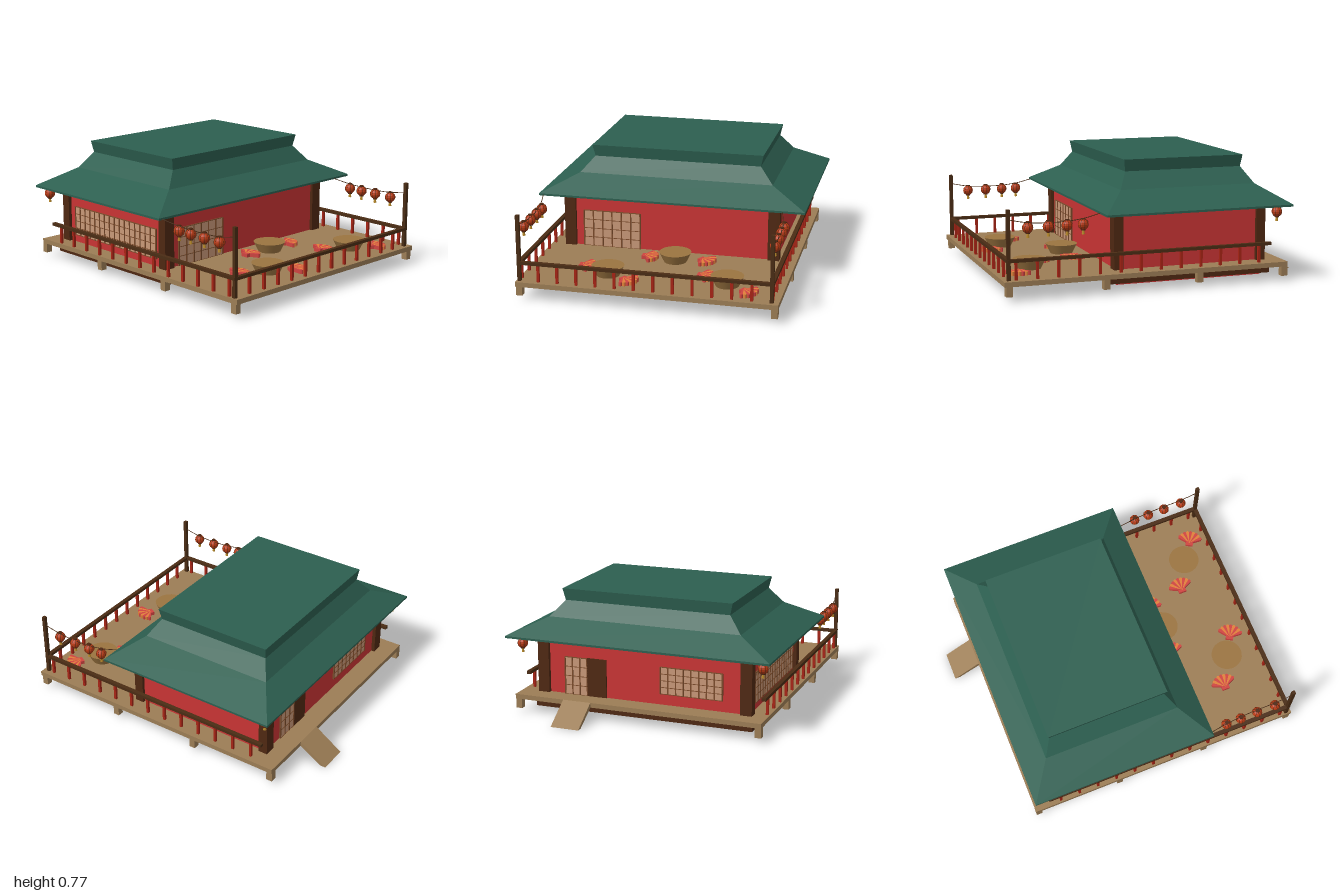
import * as THREE from 'three';

const mat = (color, extra = {}) => {
  const m = new THREE.MeshStandardMaterial({ color, ...extra });
  return m;
};
const M = {
  roof: mat(0x2d5f50, { flatShading: true }),
  red: mat(0xc93434),
  dark: mat(0x4f2812),
  rail: mat(0x4a2c14),
  baluster: mat(0xa82415),
  deck: mat(0x9c7d55),
  paper: mat(0xc89878),
  lattice: mat(0x7a4a2a),
  table: mat(0x9b7440),
  lantern: mat(0xb83a14, { flatShading: true }),
  gold: mat(0xb98a2a),
  shellA: mat(0xe0803a),
  shellB: mat(0xcf4440),
};

export function createModel() {
  const root = new THREE.Group();

  const add = (parent, name, geo, material, x = 0, y = 0, z = 0) => {
    const m = new THREE.Mesh(geo, material);
    m.name = name;
    m.position.set(x, y, z);
    parent.add(m);
    return m;
  };
  // Box given by its min and max on each axis
  const box = (parent, name, material, x0, x1, y0, y1, z0, z1) =>
    add(parent, name, new THREE.BoxGeometry(x1 - x0, y1 - y0, z1 - z0), material,
      (x0 + x1) / 2, (y0 + y1) / 2, (z0 + z1) / 2);
  const group = (name, parent = root) => {
    const g = new THREE.Group();
    g.name = name;
    parent.add(g);
    return g;
  };

  // Deck with short legs
  const deck = group('deck');
  box(deck, 'deckFloor', M.deck, -0.82, 1, 0.09, 0.12, -0.8, 0.815);
  for (const x of [-0.8, -0.23, 0.37, 0.97])
    for (const z of [-0.777, 0.795])
      box(deck, 'deckLeg', M.deck, x - 0.02, x + 0.02, 0.03, 0.09, z - 0.02, z + 0.02);

  // Entrance ramp, a slanted slab extruded along z
  const rampShape = new THREE.Shape([[-1, 0], [-0.965, 0], [-0.8, 0.1], [-0.8, 0.12], [-0.82, 0.12]]
    .map(p => new THREE.Vector2(...p)));
  add(root, 'ramp', new THREE.ExtrudeGeometry(rampShape, { depth: 0.185, bevelEnabled: false }),
    M.deck, 0, 0, -0.47);

  // House body, foundation and corner pillars
  const house = group('house');
  box(house, 'foundation', M.dark, -0.745, 0.32, 0.035, 0.1, -0.69, 0.735);
  box(house, 'walls', M.red, -0.69, 0.27, 0.025, 0.48, -0.67, 0.7);
  for (const x of [-0.683, 0.26])
    for (const z of [-0.653, 0.685]) {
      box(house, 'pillar', M.dark, x - 0.03, x + 0.03, 0.1, 0.48, z - 0.037, z + 0.037);
      const fx = x < 0 ? x + 0.06 : x - 0.06, fz = z < 0 ? z + 0.06 : z - 0.06;
      box(house, 'pillarFoot', M.dark, fx - 0.025, fx + 0.025, 0.022, 0.03, fz - 0.025, fz + 0.025);
    }

  // Paper screen with lattice, built facing +z and turned to its wall
  const screen = (name, w, h, cols, rows, x, y, z, turn) => {
    const g = group(name, house);
    box(g, 'paper', M.paper, -w / 2, w / 2, 0, h, -0.004, 0.006);
    for (let i = 0; i <= cols; i++) {
      const p = -w / 2 + (w * i) / cols;
      box(g, 'upright', M.lattice, p - 0.004, p + 0.004, 0, h, 0, 0.01);
    }
    for (let j = 0; j <= rows; j++) {
      const p = (h * j) / rows;
      box(g, 'crossBar', M.lattice, -w / 2, w / 2, p - 0.002, p + 0.002, 0, 0.009);
    }
    g.position.set(x, y, z);
    g.rotation.y = turn;
  };
  screen('frontWindow', 0.79, 0.19, 16, 4, -0.207, 0.168, 0.7, 0);
  screen('sideDoor', 0.375, 0.24, 6, 4, 0.27, 0.12, 0.408, Math.PI / 2);
  screen('leftWindow', 0.4, 0.17, 8, 4, -0.69, 0.19, 0.33, -Math.PI / 2);
  screen('leftDoor', 0.15, 0.24, 3, 4, -0.69, 0.12, -0.435, -Math.PI / 2);
  box(house, 'doorOpening', M.dark, -0.7, -0.68, 0.12, 0.365, -0.36, -0.23);

  // Hipped roof: rectangular rings [x0, x1, z half depth, y] joined in loops
  const rings = [
    [-0.82, 0.39, 0.86, 0.477], [-0.82, 0.39, 0.86, 0.49], [-0.66, 0.227, 0.63, 0.6],
    [-0.6, 0.168, 0.543, 0.7], [-0.61, 0.18, 0.56, 0.775],
  ].map(([x0, x1, d, y]) => [[x0, y, d], [x1, y, d], [x1, y, -d], [x0, y, -d]]);
  const pos = [];
  const quad = (a, b, c, d) => pos.push(...a, ...b, ...c, ...a, ...c, ...d);
  for (let r = 0; r < rings.length - 1; r++)
    for (let i = 0; i < 4; i++) {
      const j = (i + 1) % 4;
      quad(rings[r][i], rings[r][j], rings[r + 1][j], rings[r + 1][i]);
    }
  quad(...rings[4]);
  quad(...[...rings[0]].reverse());
  const roofGeo = new THREE.BufferGeometry();
  roofGeo.setAttribute('position', new THREE.Float32BufferAttribute(pos, 3));
  roofGeo.computeVertexNormals();
  add(root, 'roof', roofGeo, M.roof);

  // Railing on the front, back and right sides
  const railing = group('railing');
  const zF = 0.797, zB = -0.757, xR = 0.965;
  for (const z of [zF, zB]) {
    box(railing, 'handrail', M.rail, -0.72, 0.975, 0.226, 0.245, z - 0.013, z + 0.013);
    for (let i = 0; i < 13; i++) {
      const x = -0.64 + i * 0.13;
      if (x < 0.94) box(railing, 'baluster', M.baluster, x - 0.008, x + 0.008, 0.12, 0.23, z - 0.008, z + 0.008);
    }
    box(railing, 'cornerPost', M.rail, xR - 0.011, xR + 0.011, 0.12, 0.54, z - 0.011, z + 0.011);
  }
  box(railing, 'handrail', M.rail, xR - 0.013, xR + 0.013, 0.226, 0.245, zB, zF);
  for (let i = 1; i < 13; i++) {
    const z = zB + ((zF - zB) * i) / 13;
    box(railing, 'baluster', M.baluster, xR - 0.008, xR + 0.008, 0.12, 0.23, z - 0.008, z + 0.008);
  }

  // Paper lantern with caps, ribs and tassel
  const bodyGeo = new THREE.SphereGeometry(0.033, 12, 8);
  const ribGeo = new THREE.TorusGeometry(0.0325, 0.0016, 4, 20);
  const capGeo = new THREE.CylinderGeometry(0.014, 0.014, 0.008, 8);
  const tasselGeo = new THREE.CylinderGeometry(0.006, 0.01, 0.024, 6);
  const lantern = (x, y, z) => {
    const g = group('lantern');
    add(g, 'lanternBody', bodyGeo, M.lantern);
    for (let i = 0; i < 4; i++) add(g, 'lanternRib', ribGeo, M.dark).rotation.y = (i * Math.PI) / 4;
    for (const s of [-1, 1]) add(g, 'lanternCap', capGeo, M.dark, 0, s * 0.032, 0);
    add(g, 'tassel', tasselGeo, M.gold, 0, -0.047, 0);
    g.position.set(x, y, z);
  };

  // Sagging lantern strings from the eaves to the posts
  for (const [z, zEave] of [[zF, 0.835], [zB, -0.715]]) {
    const curve = new THREE.CatmullRomCurve3([
      [0.37, 0.485, zEave], [0.505, 0.46, (z * 2 + zEave) / 3], [0.66, 0.45, z],
      [0.845, 0.457, z], [0.965, 0.48, z],
    ].map(p => new THREE.Vector3(...p)));
    add(root, 'lanternString', new THREE.TubeGeometry(curve, 24, 0.0025, 5), M.rail);
    for (const x of [0.505, 0.605, 0.72, 0.845]) lantern(x, 0.427, z + 0.006);
  }
  for (const z of [-0.775, 0.8]) {
    lantern(-0.75, 0.438, z);
    box(root, 'lanternHook', M.rail, -0.752, -0.748, 0.46, 0.485, z - 0.002, z + 0.002);
  }

  // Round tapered tables
  for (const [x, z] of [[0.755, -0.45], [0.43, -0.05], [0.75, 0.3]])
    add(root, 'table', new THREE.CylinderGeometry(0.102, 0.072, 0.062, 24), M.table, x, 0.151, z);

  // Shell cushions: a scalloped fan of ribs in two colours
  const cushion = (x, z, turn) => {
    const g = group('cushion');
    const n = 9, span = 2.3, r = 0.085;
    for (let i = 0; i < n; i++) {
      const a = Math.PI / 2 - span / 2 + (span * i) / n, b = a + span / n, m = (a + b) / 2;
      const s = new THREE.Shape();
      s.moveTo(0, 0);
      s.lineTo(r * Math.cos(a), r * Math.sin(a));
      s.quadraticCurveTo(r * 1.2 * Math.cos(m), r * 1.2 * Math.sin(m), r * Math.cos(b), r * Math.sin(b));
      s.closePath();
      const geo = new THREE.ExtrudeGeometry(s, { depth: 0.024, bevelEnabled: false, curveSegments: 4 });
      geo.translate(0, -0.045, 0).rotateX(-Math.PI / 2);
      add(g, 'cushionRib', geo, i % 2 ? M.shellA : M.shellB);
    }
    const hinge = new THREE.BoxGeometry(0.05, 0.022, 0.026);
    add(g, 'cushionHinge', hinge, M.shellB, 0, 0.011, 0.046);
    g.position.set(x, 0.12, z);
    g.rotation.y = turn;
  };
  cushion(0.87, -0.605, -0.5);
  cushion(0.665, -0.305, 0);
  cushion(0.42, -0.255, -0.5);
  cushion(0.42, 0.11, 0);
  cushion(0.85, 0.14, -0.5);
  cushion(0.66, 0.45, 0);

  return root;
}
